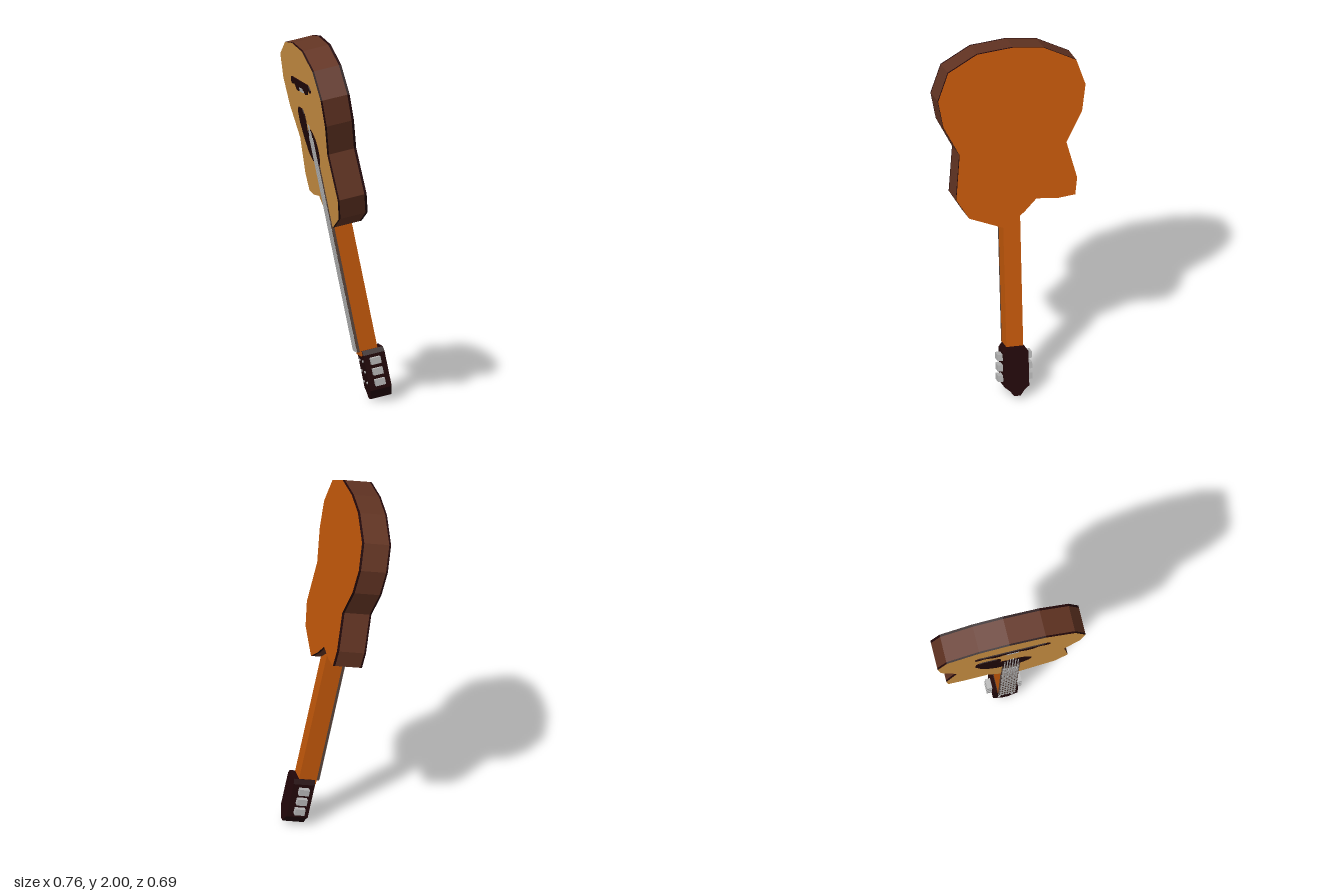
import * as THREE from 'three';

const mat = (name, color) => {
  const m = new THREE.MeshStandardMaterial({ color });
  m.name = name;
  return m;
};

export function createModel() {
  const tan = mat('soundboard tan', 0xdb9c49);
  const orange = mat('back orange', 0xbf5609);
  const brown = mat('side brown', 0x623423);
  const dark = mat('dark trim', 0x220709);
  const board = mat('fingerboard brown', 0x57433a);
  const silver = mat('silver', 0xb4b4b4);

  // local frame: x = width, y = along the neck towards the body, z = out of the soundboard
  const guitar = new THREE.Group();
  guitar.name = 'guitar';
  const add = (name, geometry, material, x = 0, y = 0, z = 0, parent = guitar) => {
    const mesh = new THREE.Mesh(geometry, material);
    mesh.name = name;
    mesh.position.set(x, y, z);
    parent.add(mesh);
    return mesh;
  };
  const group = (name) => {
    const g = new THREE.Group();
    g.name = name;
    guitar.add(g);
    return g;
  };
  const shapeOf = (pts) => new THREE.Shape(pts.map(([x, y]) => new THREE.Vector2(x, y)));
  // slab from z0 to z1
  const slab = (name, shape, z0, z1, material) =>
    add(name, new THREE.ExtrudeGeometry(shape, { depth: z1 - z0, bevelEnabled: false }), material, 0, 0, z0);
  const mirrored = (half) => [...half, ...half.slice().reverse().map(([x, y]) => [-x, y])];

  // body with one cutaway, edged in dark trim front and back
  const outline = shapeOf([
    [-0.19, 0.98], [-0.37, 0.89], [-0.418, 0.745], [-0.395, 0.595], [-0.303, 0.425],
    [-0.358, 0.216], [-0.345, 0.12], [-0.25, 0.11], [-0.128, 0.121], [-0.06, 0.053],
    [0.05, -0.032], [0.25, 0.046], [0.32, 0.16], [0.295, 0.415], [0.382, 0.585],
    [0.408, 0.735], [0.348, 0.892], [0.183, 0.982], [-0.02, 1.0],
  ]);
  slab('frontBinding', outline, -0.01, 0, [tan, dark]);
  slab('bodySides', outline, -0.152, -0.01, brown);
  slab('backBinding', outline, -0.165, -0.152, [orange, dark]);

  // sound hole and pickguard
  add('soundHole', new THREE.CircleGeometry(0.107, 24), dark, 0.006, 0.41, 0.004);
  slab('pickguard', shapeOf([
    [-0.2, 0.583], [-0.185, 0.608], [-0.164, 0.62], [-0.088, 0.618], [-0.066, 0.593], [-0.06, 0.56],
    [-0.075, 0.5], [-0.01, 0.48], [-0.01, 0.34], [-0.076, 0.328], [-0.133, 0.368], [-0.175, 0.443], [-0.203, 0.525],
  ]), 0, 0.005, dark);

  // bridge with curled ends, and its saddle
  slab('bridge', shapeOf(mirrored([
    [0.185, 0.79], [0.21, 0.765], [0.207, 0.75], [0.182, 0.748], [0.165, 0.76], [0.14, 0.755],
    [0.115, 0.727], [0.075, 0.722], [0.055, 0.738], [0.02, 0.742],
  ])), 0, 0.006, dark);
  add('saddle', new THREE.BoxGeometry(0.07, 0.022, 0.006), silver, 0, 0.738, 0.005);

  // neck and fingerboard
  const taper = (b0, b1, w0, w1) => shapeOf([[-w0, b0], [w0, b0], [w1, b1], [-w1, b1]]);
  slab('neck', taper(-0.76, 0.05, 0.047, 0.048), -0.11, -0.01, orange);
  slab('fingerboard', taper(-0.735, 0.31, 0.047, 0.05), -0.01, 0.004, board);

  // frets get closer towards the body
  const frets = group('frets');
  for (let i = 0; i < 19; i++) {
    const y = 0.72 - 1.44 * Math.pow(2, -i / 12);
    add('fret', new THREE.BoxGeometry(0.092, 0.005, 0.003), silver, 0, y, 0.005, frets);
  }

  // six strings
  const strings = group('strings');
  for (let i = 0; i < 6; i++) {
    const s = i - 2.5;
    const top = 0.56 - Math.abs(s) * 0.035;
    add('string', new THREE.BoxGeometry(0.0055, top + 0.735, 0.003), silver, s * 0.015, (top - 0.735) / 2, 0.0065, strings);
  }

  // headstock
  slab('headstock', shapeOf(mirrored([
    [0.05, -0.733], [0.068, -0.757], [0.068, -0.955], [0.04, -0.978], [0.018, -1.008],
  ])), -0.14, -0.02, dark);

  // tuning pegs and string posts, three on each side
  const tuners = group('tuners');
  for (const side of [-1, 1]) {
    for (const y of [-0.793, -0.853, -0.913]) {
      add('peg', new THREE.BoxGeometry(0.034, 0.036, 0.056), silver, side * 0.079, y, -0.078, tuners);
      const post = add('post', new THREE.CylinderGeometry(0.007, 0.007, 0.008, 8), silver, side * 0.035, y, -0.018, tuners);
      post.rotation.x = Math.PI / 2;
    }
  }

  // lean the whole instrument, head down
  const u = new THREE.Vector3(-0.147, 0.98, 0.134).normalize();
  const n = new THREE.Vector3(0.768, 0.028, 0.64).cross(u).normalize();
  const w = new THREE.Vector3().crossVectors(u, n);
  guitar.quaternion.setFromRotationMatrix(new THREE.Matrix4().makeBasis(w, u, n));
  guitar.position.set(0.055, 0.986, -0.015);

  const model = new THREE.Group();
  model.name = 'model';
  model.add(guitar);
  return model;
}
